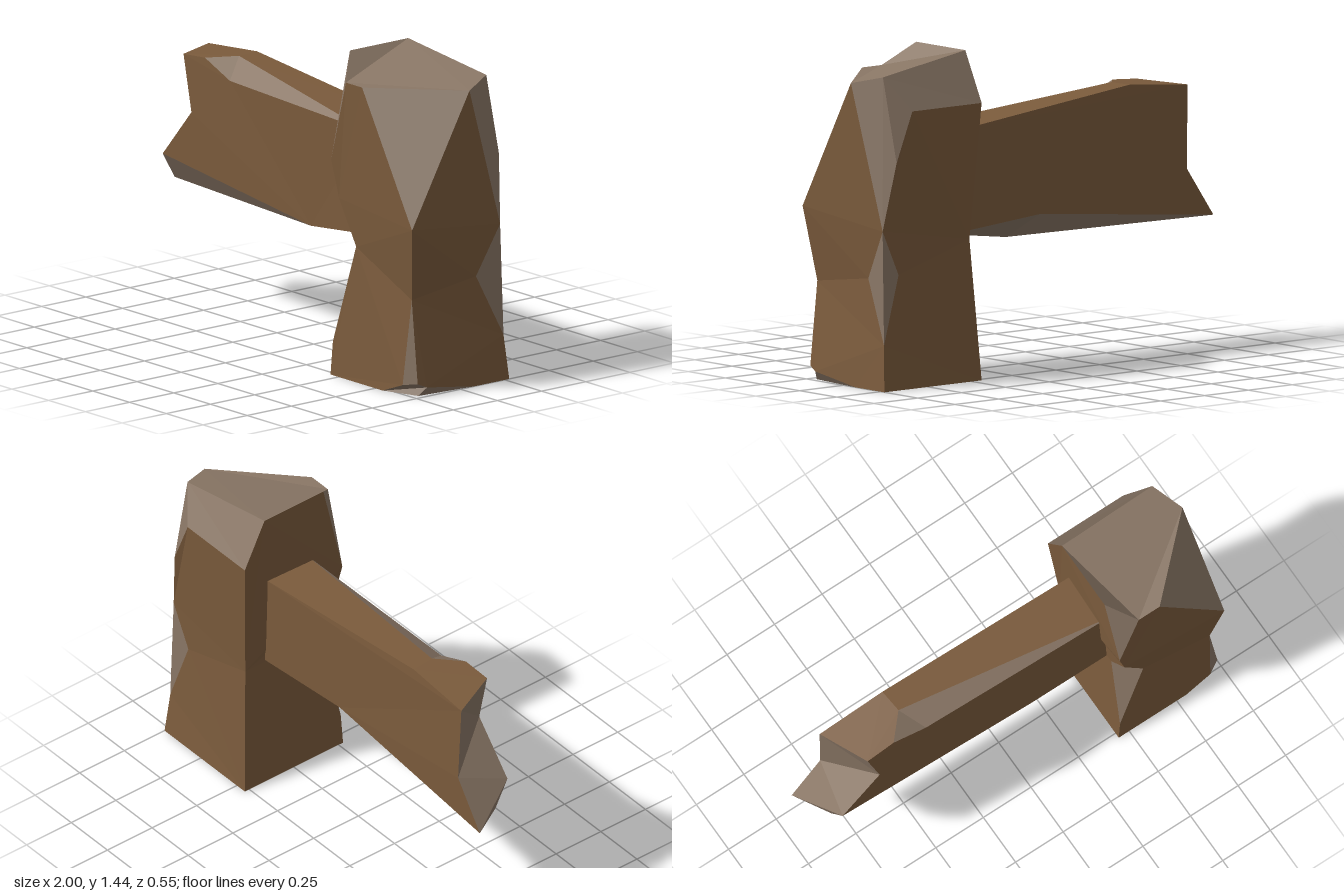
import * as THREE from 'three';

const bark = new THREE.MeshStandardMaterial({ color: 0x7b5b3c, flatShading: true });
bark.name = 'brown wood';
const cut = new THREE.MeshStandardMaterial({ color: 0x8a7766, flatShading: true });
cut.name = 'pale chipped wood';

// Turns polygons, given as corner names, into a faceted mesh facing away from the core
function facets(name, material, corners, polygons, core) {
  const positions = [];
  for (const polygon of polygons) {
    const pts = polygon.split(' ').map((key) => new THREE.Vector3(...corners[key]));
    const normal = new THREE.Vector3();
    const centre = new THREE.Vector3();
    pts.forEach((p, i) => {
      normal.add(p.clone().cross(pts[(i + 1) % pts.length]));
      centre.addScaledVector(p, 1 / pts.length);
    });
    if (normal.dot(centre.clone().sub(core(centre))) < 0) normal.negate();

    // Flatten along the main direction of the face to triangulate it
    const [ax, ay, az] = normal.toArray().map(Math.abs);
    const flat = pts.map((p) => {
      if (ax >= ay && ax >= az) return new THREE.Vector2(p.y, p.z);
      if (ay >= az) return new THREE.Vector2(p.z, p.x);
      return new THREE.Vector2(p.x, p.y);
    });
    if (THREE.ShapeUtils.isClockWise(flat)) {
      flat.reverse();
      pts.reverse();
    }
    for (const tri of THREE.ShapeUtils.triangulateShape(flat, [])) {
      let [a, b, c] = tri.map((i) => pts[i]);
      const n = b.clone().sub(a).cross(c.clone().sub(a));
      if (n.dot(normal) < 0) [b, c] = [c, b];
      positions.push(...a.toArray(), ...b.toArray(), ...c.toArray());
    }
  }
  const geometry = new THREE.BufferGeometry();
  geometry.setAttribute('position', new THREE.Float32BufferAttribute(positions, 3));
  geometry.computeVertexNormals();
  const mesh = new THREE.Mesh(geometry, material);
  mesh.name = name;
  return mesh;
}

function createPost() {
  const corners = {
    // foot
    a0: [0.445, 0, 0.275], f0: [0.8, 0, 0.275], g0: [0.97, 0, 0.215],
    r0: [1, 0, -0.08], c0: [1, 0, -0.275], d0: [0.445, 0, -0.275],
    f1: [0.93, 0.05, 0.27], k1: [0.99, 0.06, 0.235], r1: [1, 0.04, 0.19],
    // waist
    a1: [0.455, 0.15, 0.27], a2: [0.59, 0.6, 0.25], a3: [0.485, 0.8, 0.26], l2: [0.49, 0.62, 0.15],
    b2: [0.95, 0.43, 0.235], b3: [1, 0.76, 0.275],
    c1: [0.985, 0.2, -0.255], e1: [0.96, 0.48, -0.12], e2: [0.885, 0.5, -0.235], c3: [0.98, 0.7, -0.24],
    d2: [0.485, 0.62, -0.24],
    // shoulders and top
    a4: [0.45, 0.97, 0.275], c4: [0.93, 1, -0.275], p4: [0.84, 1.22, -0.275], d4: [0.445, 1.22, -0.275],
    t1: [0.445, 1.44, 0.165], t2: [0.445, 1.44, -0.165], t3: [0.94, 1.37, -0.195],
    t4: [0.55, 1.335, 0.275], t5: [0.66, 1.335, 0.275], t6: [1, 1.335, -0.05],
  };
  const core = (p) => new THREE.Vector3(0.72, THREE.MathUtils.clamp(p.y, 0.2, 1.2), 0);
  const sides = [
    'a0 f0 f1 b2 a2 a1', 'a2 b2 b3 a3', 'a3 b3 t5 t4 a4', // front
    'c0 r0 r1 k1 b2 e1 c1', 'b2 b3 c3 e1', 'b3 t6 c3', // outer side
    'd0 c0 c1 e2 d2', 'd2 e2 c3 c4 p4 d4', // back
    'a0 a1 l2 d2 d0', 'l2 a3 a4 t1 t2 d4 d2', // rail side
    'a0 f0 g0 r0 c0 d0', // underside
  ];
  const chips = [
    't1 t2 t3 t6 t5 t4', 't2 t3 p4 d4', 't1 t4 a4', 'b3 t5 t6', // top
    't3 t6 c3', 't3 c3 c4', 't3 c4 p4', // back edge
    'c3 e1 c1', 'c3 c1 e2', 'a3 a2 l2', 'a2 a1 l2', // waist notches
    'b2 f1 k1', 'f0 g0 r0 r1 k1 f1', // foot
  ];
  const post = new THREE.Group();
  post.name = 'post';
  post.add(facets('postSides', bark, corners, sides, core), facets('postChips', cut, corners, chips, core));
  return post;
}

function createRail() {
  const corners = {
    // broken end
    topFront: [-0.76, 1.17, 0.105], topBack: [-0.86, 1.16, -0.12],
    notchFront: [-0.7, 0.92, 0.11], notchBack: [-0.85, 0.79, -0.13],
    lowFront: [-0.895, 0.695, 0.11], lowBack: [-1, 0.575, -0.13], tip: [-0.905, 0.575, 0.035],
    // top edge
    chipStart: [-0.62, 1.18, 0.1], chipRidge: [-0.52, 1.19, -0.01], chipLow: [-0.45, 1.11, 0.1],
    crestBack: [-0.53, 1.19, -0.12],
    // bottom edge
    bellyFront: [0.1, 0.57, 0.1], belly: [0.1, 0.57, -0.03], bellyBack: [-0.02, 0.67, -0.12],
    // joint inside the post
    jointTopFront: [0.5, 1.08, 0.115], jointTopBack: [0.5, 1.08, -0.135],
    jointLowFront: [0.5, 0.615, 0.115], jointLowBack: [0.5, 0.63, -0.13],
  };
  const core = (p) => new THREE.Vector3(THREE.MathUtils.clamp(p.x, -0.65, 0.4), 0.85, 0);
  const sides = [
    'notchFront topFront chipStart chipLow jointTopFront jointLowFront bellyFront lowFront', // front
    'lowBack notchBack topBack crestBack jointTopBack jointLowBack bellyBack', // back
    'topFront chipStart chipRidge jointTopFront jointTopBack crestBack topBack', // top
    'lowBack tip bellyFront belly', 'bellyFront jointLowFront jointLowBack belly', // underside
  ];
  const chips = [
    'topFront topBack notchBack notchFront', 'notchFront notchBack lowBack lowFront', 'lowFront lowBack tip', // end
    'chipStart chipRidge jointTopFront chipLow', // top edge
    'lowFront tip bellyFront', 'lowBack belly bellyBack', 'belly jointLowBack bellyBack', // bottom edges
  ];
  const rail = new THREE.Group();
  rail.name = 'rail';
  rail.add(facets('railSides', bark, corners, sides, core), facets('railChips', cut, corners, chips, core));
  return rail;
}

export function createModel() {
  const fence = new THREE.Group();
  fence.name = 'fence';
  fence.add(createPost(), createRail());
  return fence;
}
